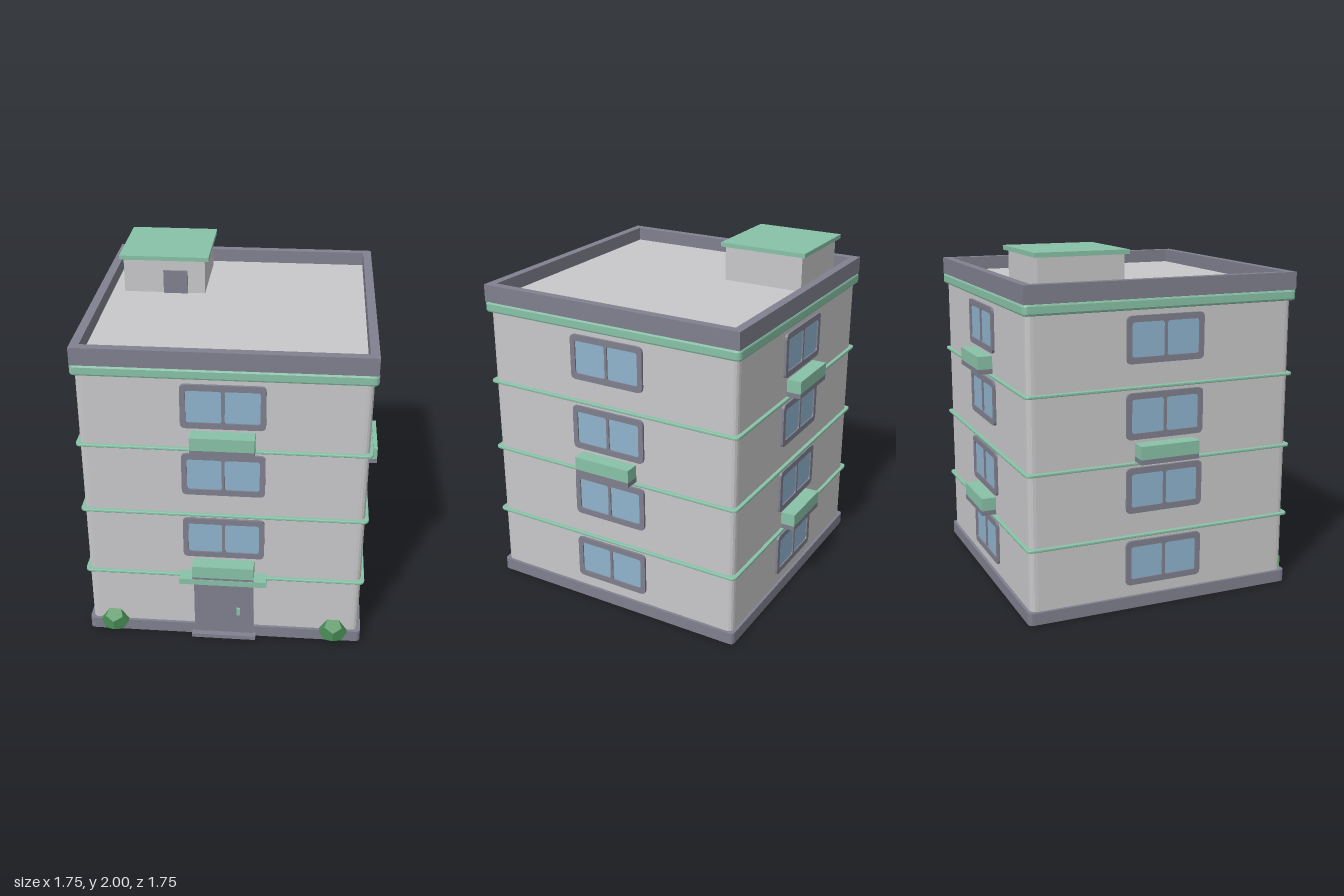
import * as THREE from 'three';

const mat = (name, color) => {
  const m = new THREE.MeshStandardMaterial({ color });
  m.name = name;
  return m;
};

// Rectangle with separate bottom and top corner radii
function roundRect(x0, y0, x1, y1, rb, rt = rb, Type = THREE.Shape) {
  const s = new Type();
  s.moveTo(x0 + rb, y0);
  s.lineTo(x1 - rb, y0);
  if (rb) s.quadraticCurveTo(x1, y0, x1, y0 + rb);
  s.lineTo(x1, y1 - rt);
  if (rt) s.quadraticCurveTo(x1, y1, x1 - rt, y1);
  s.lineTo(x0 + rt, y1);
  if (rt) s.quadraticCurveTo(x0, y1, x0, y1 - rt);
  s.lineTo(x0, y0 + rb);
  if (rb) s.quadraticCurveTo(x0, y0, x0 + rb, y0);
  return s;
}

export function createModel() {
  const wall = mat('wall grey', 0xc8c8ca);
  const trim = mat('slate trim', 0x80808f);
  const green = mat('mint green', 0x88c2a7);
  const glass = mat('window glass', 0x8fb3cd);
  const leaf = mat('bush green', 0x4a8f58);

  const model = new THREE.Group();
  model.name = 'apartmentBuilding';

  const add = (parent, name, geo, material) => {
    const mesh = new THREE.Mesh(geo, material);
    mesh.name = name;
    parent.add(mesh);
    return mesh;
  };
  const box = (parent, name, material, x0, x1, y0, y1, z0, z1) =>
    add(parent, name, new THREE.BoxGeometry(x1 - x0, y1 - y0, z1 - z0)
      .translate((x0 + x1) / 2, (y0 + y1) / 2, (z0 + z1) / 2), material);

  // Square storey slab, with optional rounded edge and open middle
  const slab = (name, material, half, y0, y1, r, { bevel = 0, inner = 0 } = {}) => {
    const h = half - bevel;
    const shape = roundRect(-h, -h, h, h, r);
    if (inner) shape.holes.push(roundRect(-inner, -inner, inner, inner, 0, 0, THREE.Path));
    const geo = new THREE.ExtrudeGeometry(shape, {
      depth: y1 - y0 - 2 * bevel, curveSegments: 4,
      bevelEnabled: bevel > 0, bevelSize: bevel, bevelThickness: bevel, bevelSegments: 2,
    });
    geo.rotateX(-Math.PI / 2).translate(0, y0 + bevel, 0);
    return add(model, name, geo, material);
  };

  // Main block
  slab('plinth', trim, 0.805, 0, 0.07, 0.03);
  slab('walls', wall, 0.788, 0.06, 1.77, 0.04);
  for (const y of [0.425, 0.845, 1.268]) slab('floorBand', green, 0.808, y - 0.008, y + 0.008, 0.03, { bevel: 0.004 });
  slab('cornice', green, 0.81, 1.69, 1.752, 0.02, { bevel: 0.012 });
  slab('parapet', trim, 0.805, 1.75, 1.85, 0, { inner: 0.755 });

  // Window: frame with two openings and recessed panes
  const frameShape = roundRect(-0.23, -0.13, 0.23, 0.13, 0.03);
  for (const [a, b] of [[-0.2, -0.008], [0.008, 0.2]]) {
    frameShape.holes.push(roundRect(a, -0.095, b, 0.095, 0.015, 0.015, THREE.Path));
  }
  const frameGeo = new THREE.ExtrudeGeometry(frameShape, { depth: 0.022, bevelEnabled: false, curveSegments: 4 });
  const paneGeo = new THREE.PlaneGeometry(0.41, 0.2);
  const addWindow = (side, y) => {
    const g = new THREE.Group();
    g.name = 'window';
    g.position.set(0, y, 0.78);
    add(g, 'windowFrame', frameGeo, trim);
    add(g, 'windowGlass', paneGeo, glass).position.z = 0.014;
    side.add(g);
  };

  // Flower box with slate base
  const addPlanter = (side, y) => {
    box(side, 'planterBase', trim, -0.175, 0.175, y, y + 0.028, 0.78, 0.873);
    box(side, 'planterBox', green, -0.175, 0.175, y + 0.028, y + 0.103, 0.78, 0.873);
  };

  // Four facades: windows and flower boxes by storey
  const rows = [0.267, 0.69, 1.11, 1.53];
  const facades = [
    { name: 'frontFacade', turn: 0, windows: rows.slice(1), planters: [0.435, 1.276] },
    { name: 'leftFacade', turn: 1, windows: rows, planters: [0.855] },
    { name: 'backFacade', turn: 2, windows: rows, planters: [0.435, 1.276] },
    { name: 'rightFacade', turn: 3, windows: rows, planters: [0.855] },
  ];
  for (const f of facades) {
    const side = new THREE.Group();
    side.name = f.name;
    side.rotation.y = f.turn * Math.PI / 2;
    f.windows.forEach((y) => addWindow(side, y));
    f.planters.forEach((y) => addPlanter(side, y));
    model.add(side);
  }

  // Entrance
  const doorGeo = new THREE.ExtrudeGeometry(roundRect(-0.173, 0, 0.173, 0.4, 0, 0.045),
    { depth: 0.032, bevelEnabled: false, curveSegments: 5 });
  add(model, 'frontDoor', doorGeo, trim).position.z = 0.78;
  box(model, 'doorHandle', green, 0.075, 0.095, 0.165, 0.21, 0.81, 0.828);
  box(model, 'doorStep', trim, -0.188, 0.188, 0, 0.025, 0.78, 0.845);
  box(model, 'doorCanopy', green, -0.25, 0.25, 0.414, 0.45, 0.78, 0.875);

  // Rooftop stair house
  box(model, 'stairHouse', wall, -0.682, -0.197, 1.76, 1.976, -0.685, -0.195);
  box(model, 'stairHouseRoof', green, -0.705, -0.173, 1.975, 2, -0.709, -0.175);
  box(model, 'stairHouseDoor', trim, -0.445, -0.3, 1.77, 1.91, -0.2, -0.184);

  // Faceted bushes beside the entrance
  for (const x of [-0.653, 0.643]) {
    const bush = add(model, 'bush', new THREE.DodecahedronGeometry(0.088), leaf);
    bush.scale.y = 0.88;
    bush.position.set(x, 0.068, 0.782);
  }
  return model;
}
